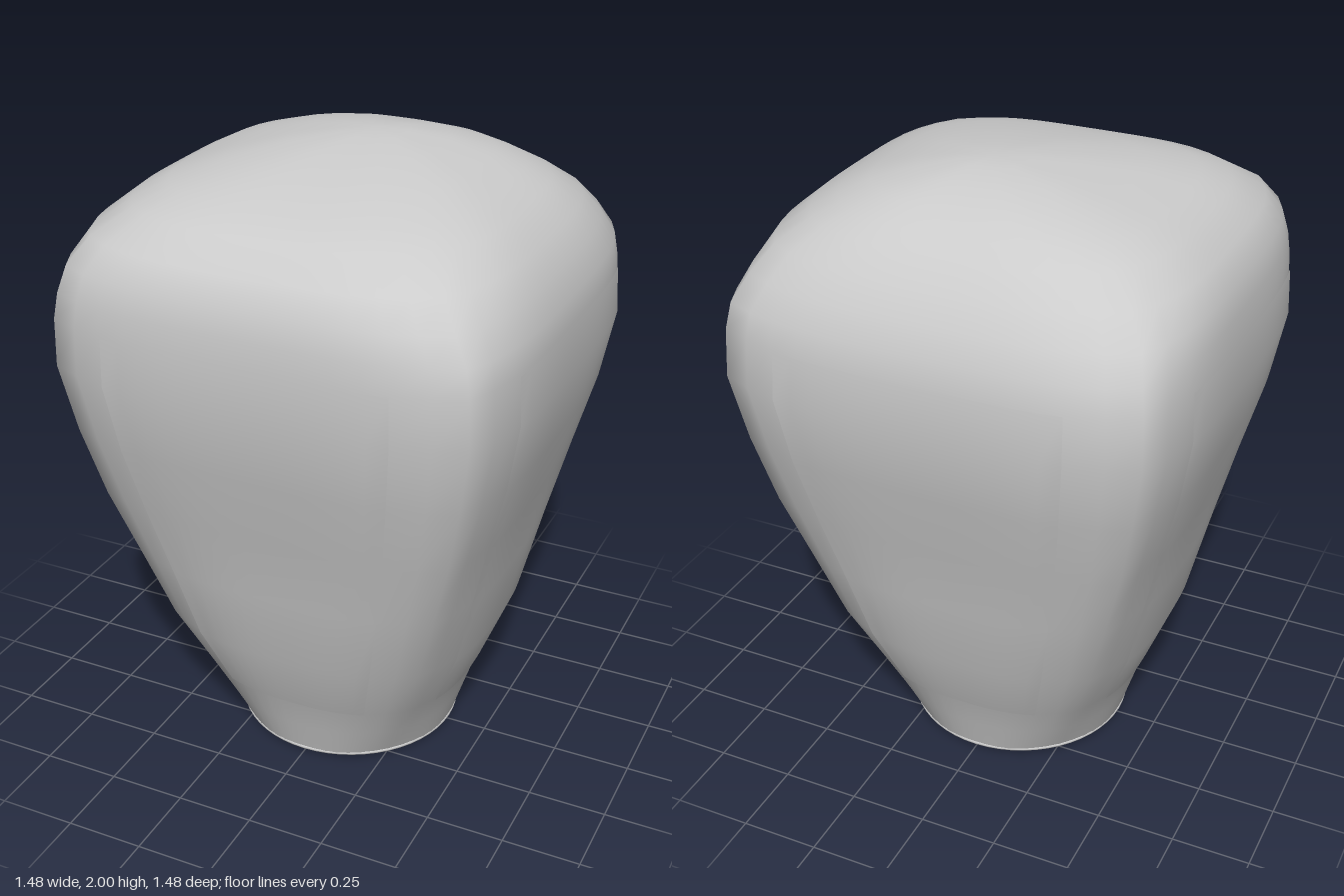
import * as THREE from 'three';

// Rings: height, half width at mid face, corner half width, centre x, centre z
const RINGS = [
  [0.015, 0.365, 0.258, 0, 0], [0.13, 0.4, 0.3, 0, 0],
  [0.25, 0.438, 0.345, 0, 0], [0.47, 0.525, 0.43, 0, 0],
  [0.72, 0.578, 0.5, 0, 0], [0.95, 0.63, 0.565, 0, 0],
  [1.18, 0.692, 0.615, 0, 0], [1.4, 0.732, 0.65, 0, 0],
  [1.55, 0.724, 0.645, 0, 0.005], [1.63, 0.717, 0.632, 0, 0.01],
  [1.71, 0.69, 0.6, -0.01, 0.02], [1.79, 0.645, 0.545, -0.01, 0.025],
  [1.86, 0.56, 0.46, -0.01, 0.01], [1.9, 0.48, 0.39, -0.01, -0.015],
  [1.94, 0.37, 0.295, 0.01, -0.05], [1.975, 0.23, 0.175, 0.02, -0.09],
  [1.994, 0.1, 0.075, 0.03, -0.11],
];
const STEPS = 14;

// Point on side k of a ring, t from -1 to 1 between its corners
function ringPoint([y, mid, corner, cx, cz], k, t, lift = 0) {
  const power = 2.3 + 1.5 * Math.min(1, y / 1.2);
  const l = corner * t;
  const o = corner + (mid - corner) * (1 - Math.abs(t) ** power) + lift;
  const c = [1, 0, -1, 0][k], s = [0, 1, 0, -1][k];
  return [cx + l * c + o * s, y, cz - l * s + o * c];
}

// Surface through rows of points, optionally closed around and capped at an apex
function skin(rows, closed, apex) {
  const n = rows[0].length, index = [], pos = rows.flat(2);
  const cols = closed ? n : n - 1;
  for (let r = 0; r < rows.length - 1; r++) {
    for (let i = 0; i < cols; i++) {
      const a = r * n + i, b = r * n + (i + 1) % n;
      index.push(a, b, b + n, a, b + n, a + n);
    }
  }
  if (apex) {
    const top = rows.length * n, base = top - n;
    pos.push(...apex);
    for (let i = 0; i < n; i++) index.push(base + i, base + (i + 1) % n, top);
  }
  const geo = new THREE.BufferGeometry();
  geo.setAttribute('position', new THREE.Float32BufferAttribute(pos, 3));
  geo.setIndex(index);
  geo.computeVertexNormals();
  return geo;
}

export function createModel() {
  const group = new THREE.Group();
  const paper = new THREE.MeshStandardMaterial({ color: 0xcccccc, side: THREE.DoubleSide });
  const solid = new THREE.MeshStandardMaterial({ color: 0xcccccc });
  const add = (name, geo, mat, x = 0, y = 0, z = 0) => {
    const mesh = new THREE.Mesh(geo, mat);
    mesh.name = name;
    mesh.position.set(x, y, z);
    group.add(mesh);
    return mesh;
  };

  // Paper envelope, round at the mouth and square at the shoulders
  const rows = RINGS.map((ring) => {
    const row = [];
    for (let k = 0; k < 4; k++)
      for (let i = 0; i < STEPS; i++) row.push(ringPoint(ring, k, -1 + 2 * i / STEPS));
    return row;
  });
  add('envelope', skin(rows, true, [0.03, 2, -0.12]), paper);

  // A thin panel laid over each face
  const panelRings = RINGS.filter(([y]) => y >= 0.25 && y <= 1.55);
  ['frontPanel', 'leftPanel', 'backPanel', 'rightPanel'].forEach((name, k) => {
    const panelRows = panelRings.map((ring) =>
      Array.from({ length: STEPS + 1 }, (_, i) => ringPoint(ring, k, 0.69 * (-1 + 2 * i / STEPS), 0.009)));
    add(name, skin(panelRows, false), paper);
  });

  // Mouth hoop
  const hoop = add('mouthHoop', new THREE.TorusGeometry(0.363, 0.007, 8, 56), solid, 0, 0.015, 0);
  hoop.rotation.x = Math.PI / 2;

  // Crossed wires carrying the burner
  for (const axis of ['x', 'z']) {
    const wire = add('burnerWire', new THREE.CylinderGeometry(0.005, 0.005, 0.726, 8), solid, 0, 0.015, 0);
    wire.rotation[axis] = Math.PI / 2;
  }

  // Fuel block
  const block = add('fuelBlock', new THREE.BoxGeometry(0.092, 0.035, 0.092), solid, 0, 0.0175, 0);
  block.rotation.y = Math.PI / 4;

  return group;
}
